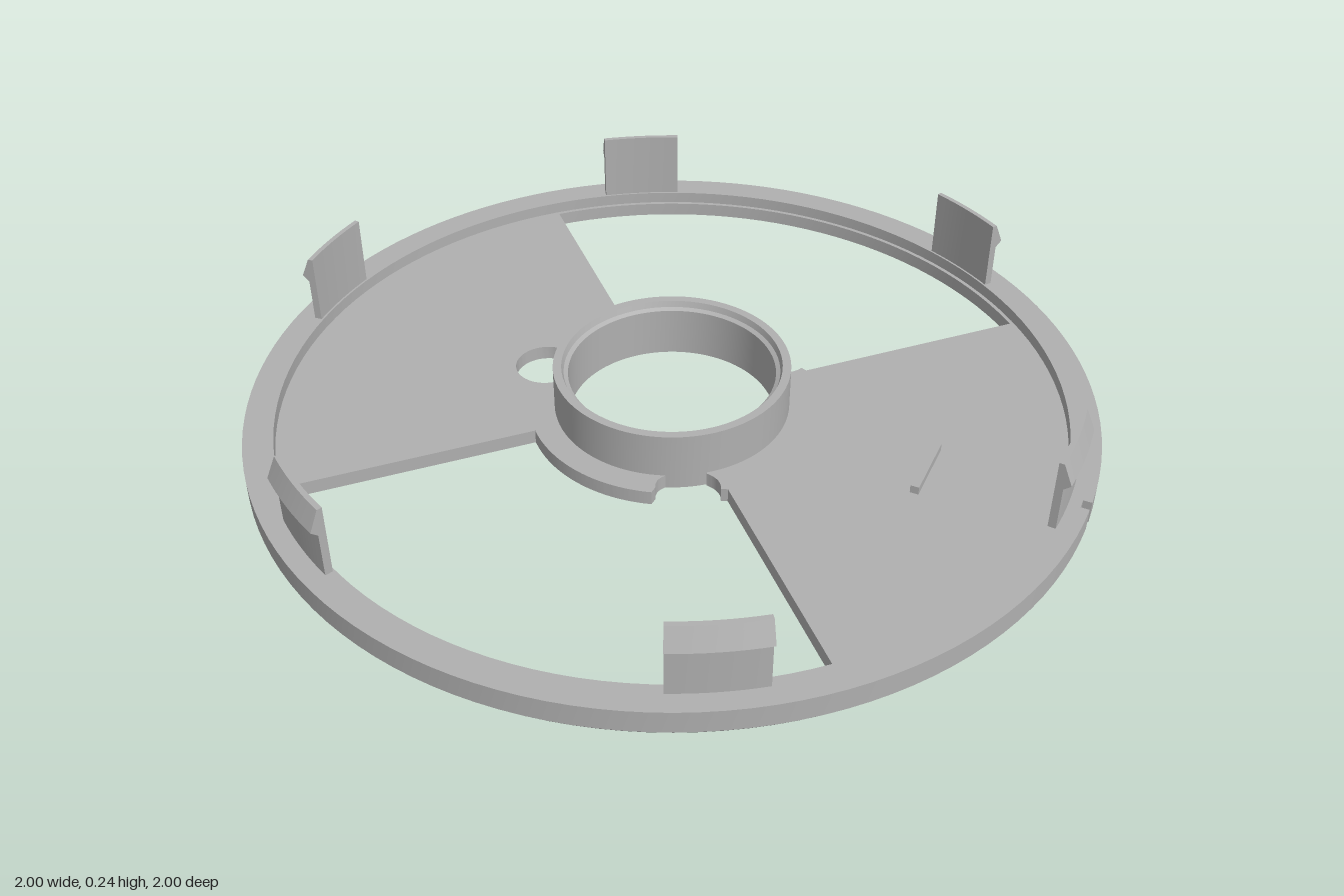
import * as THREE from 'three';
import { toCreasedNormals } from 'three/addons/utils/BufferGeometryUtils.js';

const grey = new THREE.MeshStandardMaterial({ color: 0xb0b0b0 });
grey.name = 'grey plastic';

const PLATE = 0.035; // thickness of the floor plate
const TAU = Math.PI * 2;

function part(name, geometry) {
  const mesh = new THREE.Mesh(toCreasedNormals(geometry, 0.5), grey);
  mesh.name = name;
  return mesh;
}

// Sweep a closed (radius, height) profile around the y axis from angle a to b
function sweep(name, profile, a, b, steps) {
  const shape = new THREE.Shape(profile.map(([r, y]) => new THREE.Vector2(r, y)));
  const geo = new THREE.ExtrudeGeometry(shape, { depth: b - a, steps, bevelEnabled: false });
  const p = geo.attributes.position;
  for (let i = 0; i < p.count; i++) {
    const r = p.getX(i), t = p.getZ(i) + a;
    p.setXYZ(i, r * Math.cos(t), p.getY(i), r * Math.sin(t));
  }
  return part(name, geo);
}

// Flat plate from a plan outline, standing on y = 0
function plate(name, shape) {
  const geo = new THREE.ExtrudeGeometry(shape, { depth: PLATE, bevelEnabled: false, curveSegments: 40 });
  geo.rotateX(Math.PI / 2);
  geo.translate(0, PLATE, 0);
  return part(name, geo);
}

export function createModel() {
  const model = new THREE.Group();
  model.name = 'ringCover';

  // Outer rim, with a small notch at +x
  const gap = 0.0125;
  const rim = (outer) => [
    [0.92, 0], [outer - 0.008, 0], [outer, 0.01], [outer, 0.065], [0.93, 0.065], [0.93, PLATE], [0.92, PLATE],
  ];
  model.add(sweep('rim', rim(1), gap, TAU - gap, 128));
  model.add(sweep('rimNotch', rim(0.98), -gap, gap, 1));

  // Central hub with a bevelled inner lip
  model.add(sweep('hub', [
    [0.245, 0], [0.28, 0], [0.28, 0.145], [0.26, 0.145], [0.255, 0.13], [0.245, 0.125],
  ], 0, TAU, 96));

  // Right wing with small lips beside the hub
  const deg = Math.PI / 180;
  const right = new THREE.Shape();
  right.absarc(0, 0, 0.92, -45 * deg, 45 * deg, false);
  right.lineTo(0.25, 0.245);
  right.lineTo(0.235, 0.25);
  right.quadraticCurveTo(0.225, 0.22, 0.185, 0.215);
  right.absarc(0, 0, 0.275, 48 * deg, -48 * deg, true);
  right.quadraticCurveTo(0.225, -0.22, 0.235, -0.25);
  right.lineTo(0.25, -0.245);
  model.add(plate('rightWing', right));

  // Left wing and the collar that wraps round the hub
  const left = new THREE.Shape();
  left.absarc(0, 0, 0.92, 135 * deg, 225 * deg, false);
  left.absarc(0, 0, 0.34, 225 * deg, 287 * deg, false);
  left.lineTo(0.1, -0.305);
  left.quadraticCurveTo(0.085, -0.28, 0.11, -0.252);
  left.absarc(0, 0, 0.275, 293.6 * deg, 66.4 * deg, true);
  left.quadraticCurveTo(0.085, 0.28, 0.1, 0.305);
  left.absarc(0, 0, 0.34, 73 * deg, 135 * deg, false);
  left.holes.push(new THREE.Path().absarc(-0.34, 0, 0.075, 0, TAU, true));
  model.add(plate('leftWing', left));

  // Raised bar on the right wing
  const bar = part('bar', new THREE.BoxGeometry(0.02, 0.025, 0.17));
  bar.position.set(0.63, PLATE + 0.0075, 0);
  model.add(bar);

  // Six barbed clips standing on the rim
  const clip = [
    [0.935, PLATE], [0.953, PLATE], [0.953, 0.175], [0.969, 0.19], [0.947, 0.24], [0.935, 0.24],
  ];
  const half = 0.109;
  for (let i = 0; i < 6; i++) {
    const a = (i * TAU) / 6;
    model.add(sweep('clip' + (i + 1), clip, a - half, a + half, 8));
  }
  return model;
}
